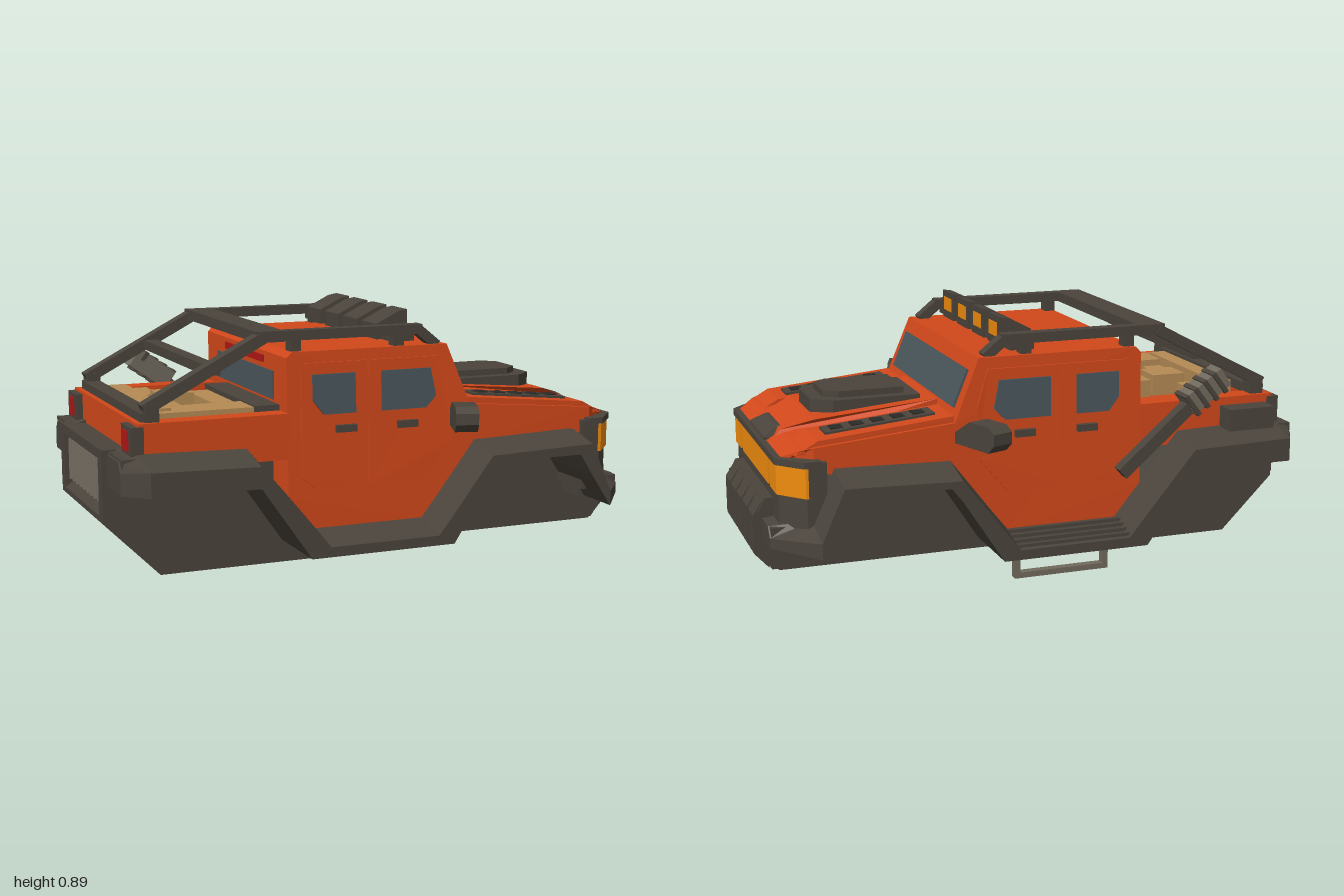
import * as THREE from 'three';

const colors = { orange: 0xd2481a, dark: 0x4a443c, black: 0x2b2a26, amber: 0xf08c0e, glass: 0x4a565c, tan: 0xb58b55, metal: 0x716a5e, red: 0xb01818 };
const mats = {};
for (const k in colors) mats[k] = new THREE.MeshStandardMaterial({ color: colors[k], flatShading: true });

export function createModel() {
  const root = new THREE.Group();
  const add = (name, geo, mat) => {
    const m = new THREE.Mesh(geo, mats[mat]);
    m.name = name;
    root.add(m);
    return m;
  };
  const toShape = (pts) => new THREE.Shape(pts.map(([x, y]) => new THREE.Vector2(x, y)));
  // side profile (x, y) extruded from z0 to z1
  const side = (pts, z0, z1) =>
    new THREE.ExtrudeGeometry(toShape(pts), { depth: z1 - z0, bevelEnabled: false }).translate(0, 0, z0);
  // plan outline (x, z) extruded from y0 to y1
  const plan = (pts, y0, y1) =>
    new THREE.ExtrudeGeometry(toShape(pts.map(([x, z]) => [x, -z])), { depth: y1 - y0, bevelEnabled: false })
      .rotateX(-Math.PI / 2).translate(0, y0, 0);
  const box = (name, mat, x0, x1, y0, y1, z0, z1) =>
    add(name, new THREE.BoxGeometry(x1 - x0, y1 - y0, z1 - z0).translate((x0 + x1) / 2, (y0 + y1) / 2, (z0 + z1) / 2), mat);
  // square bar between two points
  const bar = (name, mat, a, b, h, w = h) => {
    const p = new THREE.Vector3(...a), q = new THREE.Vector3(...b);
    const m = add(name, new THREE.BoxGeometry(w, h, p.distanceTo(q)), mat);
    m.position.copy(p).add(q).multiplyScalar(0.5);
    m.lookAt(q);
  };
  // both halves of a symmetric plan outline
  const mirrored = (pts) => [...pts, ...pts.map(([x, z]) => [x, -z]).reverse()];
  // scale z by a rule of x and y
  const reshape = (geo, rule) => {
    const p = geo.attributes.position;
    for (let i = 0; i < p.count; i++) p.setZ(i, p.getZ(i) * rule(p.getX(i), p.getY(i)));
    geo.computeVertexNormals();
    return geo;
  };
  const leanIn = (x, y) => 1 - Math.max(0, y - 0.52) * 0.12;

  // central chassis
  add('chassis', side([[-0.97, 0.45], [-0.97, 0.24], [-1, 0.22], [-1, 0.2], [-0.8, 0], [0.02, 0], [0.06, 0.04], [0.92, 0.04], [0.92, 0.3], [0.85, 0.4], [-0.9, 0.45]], -0.29, 0.29), 'dark');

  // fender and sill cladding, lofted along x: [x, top, bottom, outer z]
  const stations = [
    [-0.98, 0.44, 0.33, 0.46], [-0.91, 0.46, 0.34, 0.58], [-0.53, 0.45, 0.34, 0.58], [-0.35, 0.235, 0.08, 0.58],
    [-0.28, 0.15, 0.08, 0.58], [0.13, 0.15, 0.08, 0.58], [0.19, 0.225, 0.08, 0.58], [0.34, 0.42, 0.31, 0.58],
    [0.38, 0.42, 0.36, 0.58], [0.7, 0.43, 0.36, 0.58], [0.75, 0.43, 0.28, 0.58], [0.83, 0.25, 0.16, 0.58],
    [0.97, 0.23, 0.16, 0.4]];
  const cladding = (s) => {
    const pos = [], idx = [], n = 5;
    for (const [x, t, b, o] of stations) {
      const zi = Math.min(0.43, o - 0.03);
      for (const [z, y] of [[0.27, b], [0.27, t], [zi, t], [o, t - 0.035], [o, b]]) pos.push(x, y, z * s);
    }
    const tri = (a, b, c) => (s > 0 ? idx.push(a, b, c) : idx.push(a, c, b));
    for (let i = 0; i < stations.length - 1; i++)
      for (let j = 0; j < n; j++) {
        const a = i * n + j, b = i * n + (j + 1) % n;
        tri(a, b, b + n);
        tri(a, b + n, a + n);
      }
    const e = (stations.length - 1) * n;
    for (let j = 1; j < n - 1; j++) {
      tri(0, j + 1, j);
      tri(e, e + j, e + j + 1);
    }
    const g = new THREE.BufferGeometry();
    g.setAttribute('position', new THREE.Float32BufferAttribute(pos, 3));
    g.setIndex(idx);
    const flat = g.toNonIndexed();
    flat.computeVertexNormals();
    return flat;
  };
  for (const s of [1, -1]) add(s > 0 ? 'leftCladding' : 'rightCladding', cladding(s), 'dark');

  // cabin and hood
  const cabin = side([[-0.38, 0.27], [-0.28, 0.14], [0.13, 0.14], [0.34, 0.41], [0.82, 0.41], [0.82, 0.505], [0.32, 0.55], [0.23, 0.77], [-0.36, 0.77], [-0.38, 0.75]], -0.435, 0.435);
  add('cabinAndHood', reshape(cabin, leanIn), 'orange');
  add('hoodNose', reshape(side([[0.82, 0.44], [0.82, 0.505], [0.86, 0.495], [0.925, 0.465], [0.925, 0.44]], -0.435, 0.435), (x) => (x > 0.84 ? 1 - (x - 0.84) * 2 : 1)), 'orange');
  add('windshield', side([[0.25, 0.72], [0.304, 0.59], [0.311, 0.593], [0.258, 0.724]], -0.375, 0.375), 'glass');
  box('rearWindow', 'glass', -0.385, -0.37, 0.59, 0.69, -0.3, 0.3);
  box('brakeLight', 'red', -0.388, -0.37, 0.71, 0.735, -0.2, 0.2);
  box('rearWindowLedge', 'dark', -0.47, -0.38, 0.54, 0.58, -0.2, 0.35);

  // raised hood centre, side ridges with vents, scoop
  add('hoodCenter', reshape(side([[0.31, 0.5], [0.31, 0.585], [0.76, 0.545], [0.87, 0.505], [0.89, 0.48], [0.76, 0.48]], -0.2, 0.2), (x) => (x > 0.8 ? 0.7 : 1)), 'orange');
  for (const s of [1, -1]) {
    const [a, b] = s > 0 ? [0.23, 0.42] : [-0.42, -0.23];
    add('hoodRidge', side([[0.32, 0.5], [0.32, 0.572], [0.8, 0.525], [0.88, 0.48], [0.82, 0.48]], a, b), 'orange');
    add('ventPlate', side([[0.37, 0.53], [0.37, 0.575], [0.76, 0.537], [0.76, 0.5]], s * 0.315 - 0.045, s * 0.315 + 0.045), 'dark');
    for (let i = 0; i < 5; i++) {
      const x = 0.42 + i * 0.073, y = 0.573 - (x - 0.37) * 0.097;
      box('ventSlot', 'black', x - 0.022, x + 0.022, y - 0.02, y + 0.005, s * 0.315 - 0.025, s * 0.315 + 0.025);
    }
  }
  add('scoopBase', plan(mirrored([[0.36, 0.15], [0.68, 0.15], [0.75, 0.09]]), 0.53, 0.595), 'dark');
  add('scoopTop', plan(mirrored([[0.41, 0.11], [0.65, 0.11], [0.7, 0.07]]), 0.58, 0.618), 'dark');
  add('hoodLip', reshape(side([[0.86, 0.46], [0.93, 0.46], [0.925, 0.48], [0.875, 0.51], [0.86, 0.51]], -0.13, 0.13), (x, y) => (y > 0.49 ? 0.75 : 1)), 'dark');

  // front end: lamp frame, lamps, grille guard
  add('noseFrame', plan(mirrored([[0.78, 0.46], [0.85, 0.46], [0.93, 0.37]]), 0.2, 0.46), 'dark');
  add('noseLip', plan(mirrored([[0.8, 0.47], [0.858, 0.47], [0.942, 0.378]]), 0.445, 0.468), 'dark');
  box('centerLamp', 'amber', 0.9, 0.937, 0.34, 0.443, -0.235, 0.235);
  for (const s of [1, -1])
    add('cornerLamp', plan([[0.845, 0.466], [0.855, 0.466], [0.937, 0.374], [0.937, 0.27], [0.88, 0.27]].map(([x, z]) => [x, z * s]), 0.34, 0.443), 'amber');
  add('grille', side([[0.9, 0.04], [0.94, 0.04], [0.985, 0.1], [0.985, 0.25], [0.96, 0.3], [0.9, 0.3]], -0.275, 0.275), 'dark');
  for (let i = 0; i < 5; i++) {
    const z = -0.22 + i * 0.11;
    add('grilleRib', side([[0.95, 0.045], [1, 0.1], [1, 0.24], [0.97, 0.285], [0.93, 0.285]], z - 0.045, z + 0.045), 'dark');
  }
  box('frontBumperBeam', 'dark', 0.8, 0.965, 0.16, 0.23, -0.4, 0.4);

  // doors, windows, handles and mirrors on both sides
  const doors = [
    [[-0.33, 0.33], [-0.28, 0.29], [-0.085, 0.29], [-0.085, 0.73], [-0.33, 0.73]],
    [[-0.075, 0.29], [0.13, 0.29], [0.24, 0.42], [0.24, 0.6], [0.2, 0.73], [-0.075, 0.73]]];
  const windows = [
    [[-0.29, 0.6], [-0.25, 0.55], [-0.13, 0.55], [-0.13, 0.69], [-0.29, 0.69]],
    [[-0.03, 0.55], [0.14, 0.55], [0.18, 0.59], [0.16, 0.69], [-0.03, 0.69]]];
  const mirrorOutline = [[0, -0.045], [0.18, -0.045], [0.21, -0.015], [0.21, 0.025], [0.18, 0.045], [0.08, 0.045], [0, -0.005]];
  for (const s of [1, -1]) {
    const place = (name, pts, out, mat) => {
      add(name, reshape(side(pts, 0.39, out), leanIn), mat).scale.z = s;
    };
    doors.forEach((d) => place('door', d, 0.442, 'orange'));
    windows.forEach((w) => place('sideWindow', w, 0.447, 'glass'));
    for (const x of [-0.205, 0.03]) place('doorHandle', [[x, 0.485], [x + 0.075, 0.485], [x + 0.075, 0.51], [x, 0.51]], 0.455, 'dark');
    const mirror = side(mirrorOutline, -0.04, 0.04).rotateY(-Math.PI / 2 - 0.35).translate(0.285, 0.525, 0.425);
    add('mirror', mirror, 'dark').scale.z = s;
  }

  // cargo bed
  for (const s of [1, -1]) box('bedWall', 'orange', -0.9, -0.37, 0.4, 0.56, s > 0 ? 0.355 : -0.43, s > 0 ? 0.43 : -0.355);
  box('tailgate', 'orange', -0.91, -0.835, 0.44, 0.56, -0.43, 0.43);
  box('bedFloor', 'orange', -0.84, -0.38, 0.44, 0.505, -0.36, 0.36);
  [[-0.82, -0.755, -0.28, 0.3, 0.585], [-0.735, -0.66, -0.33, -0.15, 0.56], [-0.71, -0.58, -0.11, 0.01, 0.585],
    [-0.565, -0.485, -0.12, 0.17, 0.57], [-0.735, -0.66, 0.03, 0.16, 0.56], [-0.81, -0.47, 0.2, 0.34, 0.575]]
    .forEach(([x0, x1, z0, z1, y]) => box('cargoBox', 'tan', x0, x1, 0.5, y, z0, z1));

  // roll cage
  for (const s of [1, -1]) {
    const z = s * 0.385;
    bar('cageRail', 'dark', [-0.47, 0.825, z], [0.14, 0.825, z], 0.035, 0.045);
    bar('cageFrontLeg', 'dark', [0.12, 0.83, z], [0.2, 0.765, z], 0.035, 0.045);
    bar('cageRearLeg', 'dark', [-0.455, 0.822, z], [-0.88, 0.6, z], 0.04, 0.05);
    box('cageFoot', 'dark', -0.88, -0.83, 0.555, 0.62, z - 0.03, z + 0.03);
    for (const x of [-0.36, 0.03]) box('cagePost', 'dark', x, x + 0.04, 0.76, 0.82, z - 0.022, z + 0.022);
  }
  box('cageHoop', 'dark', -0.48, -0.38, 0.805, 0.843, -0.405, 0.405);
  box('cageMidBar', 'dark', -0.655, -0.605, 0.7, 0.735, -0.385, 0.385);
  box('cageRearBar', 'dark', -0.89, -0.83, 0.555, 0.59, -0.4, 0.4);

  // roof light bar
  box('lightBar', 'dark', 0.02, 0.11, 0.785, 0.835, -0.405, 0.405);
  for (let i = 0; i < 4; i++) {
    const z = -0.26 + i * 0.1735;
    add('roofLamp', side([[0, 0.785], [0.12, 0.785], [0.12, 0.888], [0.085, 0.882], [0, 0.84]], z - 0.063, z + 0.063), 'dark');
    box('roofLampLens', 'amber', 0.11, 0.123, 0.815, 0.865, z - 0.042, z + 0.042);
  }

  // rear end: tail lamps and winch drum in a frame
  for (const s of [1, -1]) {
    box('tailLampHousing', 'dark', -0.935, -0.89, 0.45, 0.55, s * 0.375 - 0.06, s * 0.375 + 0.06);
    box('tailLamp', 'red', -0.94, -0.93, 0.465, 0.535, s * 0.375 - 0.03, s * 0.375 + 0.03);
    box('winchFrameSide', 'dark', -1, -0.96, 0.22, 0.45, s * 0.27 - 0.025, s * 0.27 + 0.025);
  }
  box('winchFrameTop', 'dark', -1, -0.95, 0.42, 0.455, -0.295, 0.295);
  box('rearBumperBeam', 'dark', -0.975, -0.88, 0.33, 0.45, -0.46, 0.46);
  for (let i = 0; i < 9; i++)
    add('winchCoil', new THREE.CylinderGeometry(0.022, 0.022, 0.15, 8).translate(-0.973, 0.335, -0.2 + i * 0.05), 'metal');

  // right side equipment: running board, step rail, tilted jack, fender box
  for (let i = 0; i < 4; i++) box('boardTread', 'dark', -0.29, 0.14, 0.11, 0.157 - i * 0.009, -0.475 - i * 0.03, -0.455 - i * 0.03);
  bar('stepRail', 'metal', [-0.2, 0.02, -0.555], [0.15, 0.02, -0.555], 0.02, 0.03);
  for (const x of [-0.19, 0.14]) box('stepHanger', 'metal', x - 0.01, x + 0.01, 0.01, 0.09, -0.57, -0.54);
  bar('jackShaft', 'dark', [-0.64, 0.64, -0.49], [-0.28, 0.33, -0.49], 0.045);
  bar('jackHead', 'metal', [-0.67, 0.66, -0.485], [-0.53, 0.56, -0.485], 0.075, 0.08);
  for (let i = 0; i < 4; i++) {
    const x = -0.65 + i * 0.035, y = 0.645 - i * 0.025;
    bar('jackFin', 'dark', [x, y, -0.49], [x + 0.013, y - 0.01, -0.49], 0.09, 0.09);
  }
  box('fenderBox', 'dark', -0.88, -0.7, 0.45, 0.53, -0.51, -0.42);

  return root;
}
